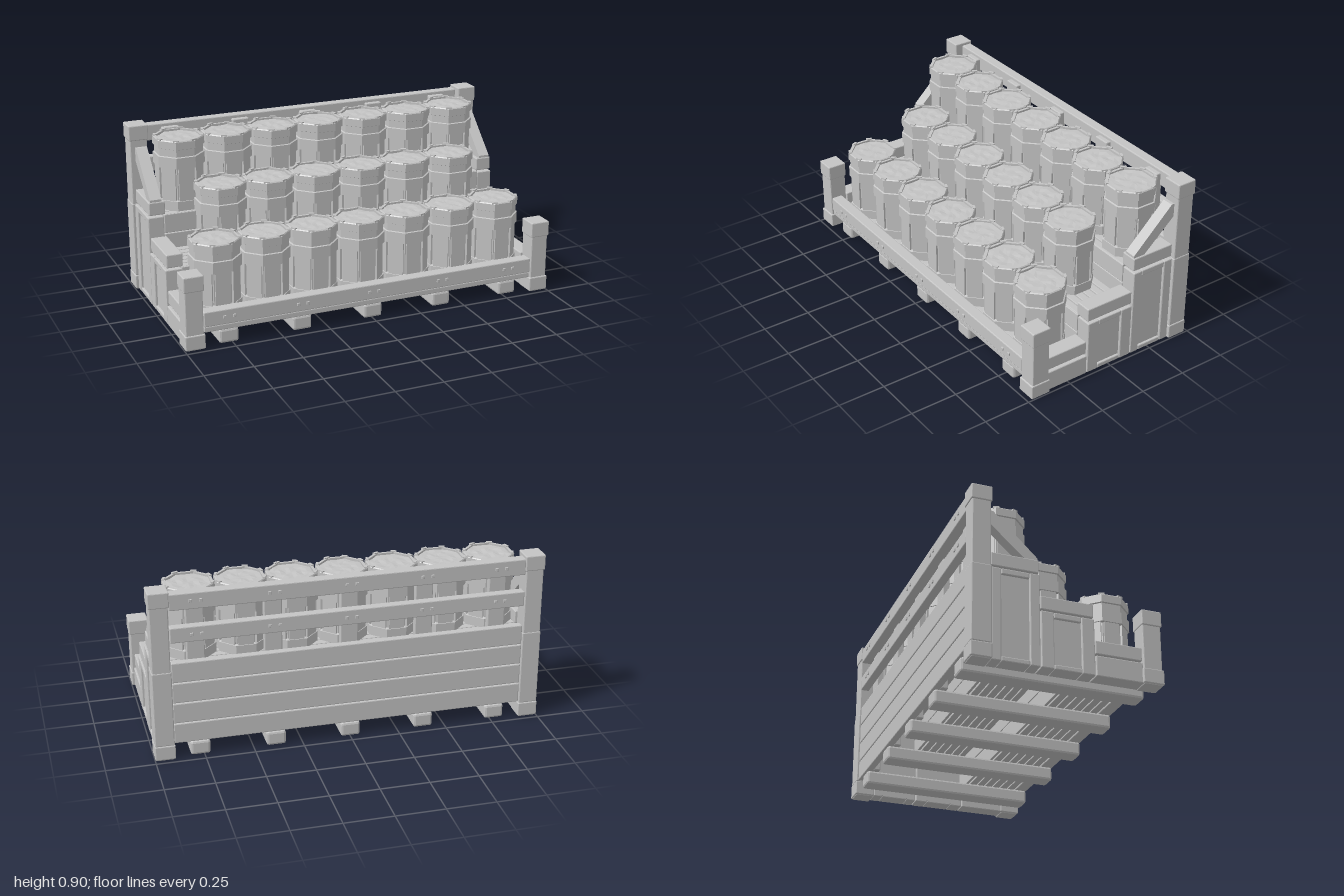
import * as THREE from 'three';
import { RoundedBoxGeometry } from 'three/addons/geometries/RoundedBoxGeometry.js';

const wood = new THREE.MeshStandardMaterial({ color: 0xc4c4c4, flatShading: true });
wood.name = 'plain grey';

// Chamfered timber given by its min and max along each axis
function timber(parent, name, [x0, x1], [y0, y1], [z0, z1], bevel = 0.005) {
  const w = x1 - x0, h = y1 - y0, d = z1 - z0;
  const r = Math.min(bevel, w * 0.3, h * 0.3, d * 0.3);
  const mesh = new THREE.Mesh(new RoundedBoxGeometry(w, h, d, 1, r), wood);
  mesh.position.set((x0 + x1) / 2, (y0 + y1) / 2, (z0 + z1) / 2);
  mesh.name = name;
  parent.add(mesh);
  return mesh;
}

// Same timber on both ends of the rack
function pair(parent, name, [x0, x1], y, z, bevel) {
  timber(parent, name + 'Left', [x0, x1], y, z, bevel);
  timber(parent, name + 'Right', [-x1, -x0], y, z, bevel);
}

// Octagonal barrel parts, shared by every barrel
const toCorner = 1 / Math.cos(Math.PI / 8);
const profile = [
  [0, 0], [0.121, 0], [0.121, 0.05], [0.108, 0.055], [0.108, 0.222],
  [0.123, 0.225], [0.123, 0.283], [0.116, 0.286], [0.116, 0.324],
  [0.123, 0.327], [0.123, 0.366], [0.119, 0.371], [0.106, 0.371], [0.106, 0.358],
].map(([a, y]) => new THREE.Vector2(a * toCorner, y));
const shellGeo = new THREE.LatheGeometry(profile, 8, Math.PI / 8);
const staveGeo = new THREE.BoxGeometry(0.078, 0.18, 0.012);
const claspGeo = new THREE.BoxGeometry(0.03, 0.012, 0.014);

// Rough lid with gentle uneven chops
const lidGeo = new THREE.RingGeometry(0, 0.106 * toCorner, 16, 4);
lidGeo.rotateX(-Math.PI / 2);
const lp = lidGeo.attributes.position;
for (let i = 0; i < lp.count; i++) {
  const x = lp.getX(i), z = lp.getZ(i);
  const a = Math.atan2(z, x);
  // Pull the outline in to an octagon with flats on the axes
  const sector = Math.round(a / (Math.PI / 4)) * (Math.PI / 4);
  const k = Math.cos(Math.PI / 8) / Math.cos(a - sector);
  const bump = 0.003 * Math.sin(x * 70 + z * 31) * Math.cos(z * 63 - x * 22);
  lp.setXYZ(i, x * k, bump, z * k);
}

function barrel() {
  const g = new THREE.Group();
  g.name = 'barrel';
  const add = (geo, name) => {
    const m = new THREE.Mesh(geo, wood);
    m.name = name;
    g.add(m);
    return m;
  };
  add(shellGeo, 'barrelShell');
  add(lidGeo, 'barrelLid').position.y = 0.361;
  for (let i = 0; i < 8; i++) {
    const a = i * Math.PI / 4;
    const stave = add(staveGeo, 'stave');
    stave.position.set(Math.sin(a) * 0.112, 0.137, Math.cos(a) * 0.112);
    stave.rotation.y = a;
    const c = a + Math.PI / 8;
    const clasp = add(claspGeo, 'rimClasp');
    clasp.position.set(Math.sin(c) * 0.122, 0.37, Math.cos(c) * 0.122);
    clasp.rotation.y = c;
  }
  return g;
}

export function createModel() {
  const model = new THREE.Group();
  model.name = 'barrelRack';
  const columns = [-0.77, -0.385, 0, 0.385, 0.77];

  // Corner posts with thicker feet and caps
  pair(model, 'backPost', [0.903, 0.995], [0, 0.89], [-0.475, -0.38]);
  pair(model, 'backPostFoot', [0.897, 1], [0.005, 0.08], [-0.48, -0.375]);
  pair(model, 'backPostMiddle', [0.9, 0.998], [0.08, 0.48], [-0.478, -0.377]);
  pair(model, 'backPostCap', [0.897, 1], [0.82, 0.9], [-0.48, -0.375]);
  pair(model, 'frontPost', [0.903, 0.995], [0, 0.38], [0.378, 0.473]);
  pair(model, 'frontPostFoot', [0.897, 1], [0.005, 0.08], [0.373, 0.48]);
  pair(model, 'frontPostCap', [0.897, 1], [0.305, 0.385], [0.375, 0.478]);

  // Skids under the floor
  for (const x of columns)
    timber(model, 'skid', [x - 0.05, x + 0.05], [0.005, 0.08], [-0.465, 0.46], 0.012);

  // Front rail
  timber(model, 'frontRail', [-0.9, 0.9], [0.11, 0.188], [0.408, 0.47]);
  timber(model, 'frontSill', [-0.9, 0.9], [0.08, 0.11], [0.4, 0.465]);

  // Three stepped tiers: floor, riser, end boxes, end beams, barrels
  const tiers = [
    { top: 0.19, z: [0.14, 0.378], count: 7, mid: 0.27 },
    { top: 0.375, z: [-0.132, 0.136], count: 6, mid: 0 },
    { top: 0.56, z: [-0.376, -0.136], count: 7, mid: -0.268 },
  ];
  tiers.forEach(({ top, z: [z0, z1], count, mid }, t) => {
    const floor = top - 0.07;
    const slats = 6, step = 0.27 / slats;
    for (let i = 0; i < slats; i++) {
      const z = mid - 0.135 + i * step;
      timber(model, 'floorSlat', [-0.9, 0.9], [floor - 0.03, floor], [z + 0.003, z + step - 0.003], 0.003);
    }
    if (t > 0) {
      for (let i = 0; i < 2; i++) {
        const y = floor - 0.205 + i * 0.103;
        timber(model, 'riserBoard', [-0.9, 0.9], [y, y + 0.1], [z1 - 0.012, z1 + 0.003], 0.003);
      }
    }
    pair(model, 'endBeam', [0.893, 0.978], [floor, top], [z0, z1]);

    // End box: recessed panel in a frame
    const boxTop = floor - 0.01;
    if (t === 0) {
      pair(model, 'endBox', [0.9, 0.985], [0.005, boxTop], [z0, z1]);
    } else {
      const inset = t === 1 ? 0.065 : 0.05;
      pair(model, 'endPanel', [0.9, 0.972], [0.01, boxTop - 0.005], [z0 + 0.01, z1 - 0.01]);
      pair(model, 'endBoardBack', [0.9, 0.985], [0.005, boxTop], [z0, z0 + inset]);
      pair(model, 'endBoardFront', [0.9, 0.985], [0.005, boxTop], [z1 - inset, z1]);
      pair(model, 'endBoardTop', [0.9, 0.984], [boxTop - 0.03, boxTop], [z0 + inset, z1 - inset]);
      pair(model, 'endBoardBottom', [0.9, 0.984], [0.005, 0.03], [z0 + inset, z1 - inset]);
    }
    for (let i = 0; i < count; i++) {
      const b = barrel();
      b.position.set((i - (count - 1) / 2) * 0.257, floor + 0.001, mid);
      b.rotation.y = ((i * 3 + t) % 4) * Math.PI / 2;
      model.add(b);
    }
  });

  // Diagonal end braces
  const braceShape = new THREE.Shape([
    [0.14, 0.56], [0.205, 0.56], [0.378, 0.715], [0.378, 0.785], [0.362, 0.785], [0.14, 0.572],
  ].map(([u, y]) => new THREE.Vector2(u, y)));
  const braceGeo = new THREE.ExtrudeGeometry(braceShape, { depth: 0.06, bevelEnabled: false });
  braceGeo.rotateY(Math.PI / 2);
  for (const x of [0.91, -0.97]) {
    const brace = new THREE.Mesh(braceGeo, wood);
    brace.name = 'diagonalBrace';
    // Extruded along +x with the profile running towards -z
    brace.position.x = x;
    model.add(brace);
  }

  // Back wall: solid boards below, open rails above
  for (let i = 0; i < 4; i++)
    timber(model, 'backBoard', [-0.9, 0.9], [0.085 + i * 0.11, 0.191 + i * 0.11], [-0.468, -0.43]);
  timber(model, 'backTopRail', [-0.9, 0.9], [0.8, 0.885], [-0.474, -0.418]);
  timber(model, 'backMiddleRail', [-0.9, 0.9], [0.63, 0.71], [-0.474, -0.428]);
  for (const x of columns) {
    timber(model, 'backStile', [x - 0.045, x + 0.045], [0.09, 0.868], [-0.428, -0.392]);
    // Nail heads on the rails
    for (const dx of [-0.025, 0.025]) {
      for (const y of [0.67, 0.845])
        timber(model, 'nailHead', [x + dx - 0.008, x + dx + 0.008], [y - 0.008, y + 0.008], [-0.48, -0.47], 0.002);
      timber(model, 'nailHead', [x + dx - 0.008, x + dx + 0.008], [0.142, 0.158], [0.466, 0.476], 0.002);
    }
  }
  return model;
}
